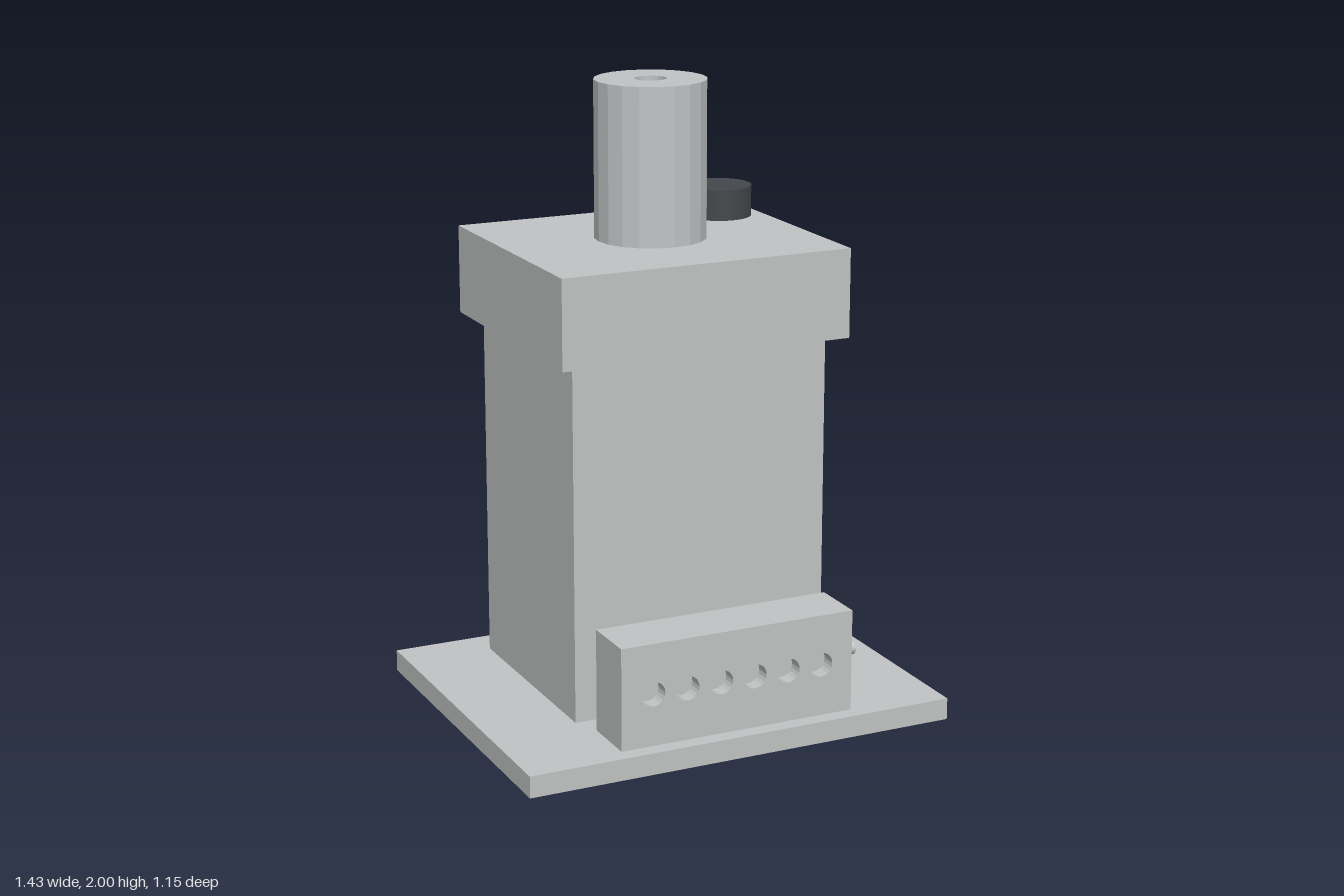
import * as THREE from 'three';

export function createModel() {
  const model = new THREE.Group();
  const paint = new THREE.MeshStandardMaterial({ color: 0xc1c3c4 });
  paint.name = 'light grey';
  const black = new THREE.MeshStandardMaterial({ color: 0x44474b });
  black.name = 'charcoal';

  const add = (name, geometry, x, y, z, material = paint, parent = model) => {
    const mesh = new THREE.Mesh(geometry, material);
    mesh.name = name;
    mesh.position.set(x, y, z);
    parent.add(mesh);
    return mesh;
  };
  // box given by its limits on each axis
  const box = (name, [x0, x1], [y0, y1], [z0, z1], parent = model) =>
    add(name, new THREE.BoxGeometry(x1 - x0, y1 - y0, z1 - z0),
      (x0 + x1) / 2, (y0 + y1) / 2, (z0 + z1) / 2, paint, parent);
  // faceted turned shape
  const turned = (points, sides) => {
    const g = new THREE.LatheGeometry(points.map(p => new THREE.Vector2(...p)), sides).toNonIndexed();
    g.computeVertexNormals();
    return g;
  };

  // main housing
  box('basePlate', [-0.717, 0.717], [0, 0.07], [-0.575, 0.575]);
  box('body', [-0.43, 0.43], [0.07, 1.215], [-0.46, 0.255]);
  box('head', [-0.485, 0.485], [1.215, 1.5], [-0.525, 0.31]);

  // column with a blind bore in its top
  add('column', turned([[0, 0], [0.178, 0], [0.178, 0.5], [0.05, 0.5], [0.05, 0.45], [0, 0.45]], 20),
    0, 1.5, -0.11);

  // dark knob
  add('knob', turned([[0, 0], [0.107, 0], [0.107, 0.1], [0, 0.1]], 32), 0.345, 1.5, -0.325, black);

  // control box: solid back and a drilled front layer with six sockets
  const control = new THREE.Group();
  control.name = 'controlBox';
  model.add(control);
  const depth = 0.05;
  box('controlBoxBack', [-0.395, 0.395], [0.07, 0.4], [0.338, 0.523 - depth], control);
  const face = new THREE.Shape([[-0.395, 0.07], [0.395, 0.07], [0.395, 0.4], [-0.395, 0.4]]
    .map(p => new THREE.Vector2(...p)));
  for (let i = 0; i < 6; i++) {
    const hole = new THREE.Path();
    hole.absarc((i - 2.5) * 0.115, 0.237, 0.039, 0, Math.PI * 2, true);
    face.holes.push(hole);
  }
  add('controlBoxFront', new THREE.ExtrudeGeometry(face, { depth, bevelEnabled: false, curveSegments: 10 }),
    0, 0, 0.523 - depth, paint, control);

  // side connector pin
  const pin = add('connectorPin', new THREE.CylinderGeometry(0.021, 0.021, 0.057, 16), 0.4225, 0.237, 0.43, paint, control);
  pin.rotation.z = -Math.PI / 2;

  return model;
}
